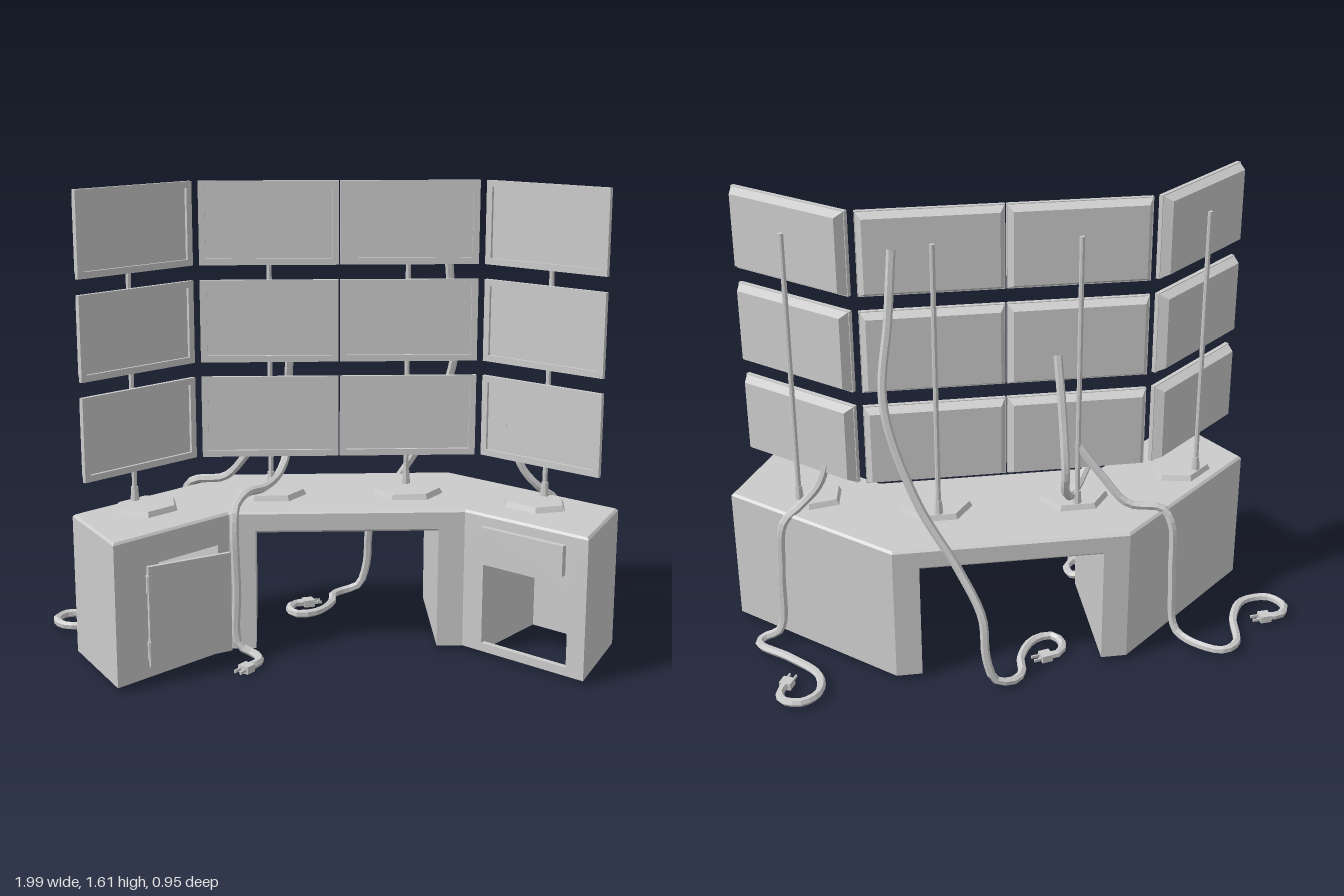
import * as THREE from 'three';

const mat = new THREE.MeshStandardMaterial({ color: 0xcccccc, flatShading: true });
const matDouble = new THREE.MeshStandardMaterial({ color: 0xcccccc, flatShading: true, side: THREE.DoubleSide });
const DESK_X = 0.065, SCREEN_X = 0.0475, ANGLE = 0.742;

function mesh(name, geometry, parent, x = 0, y = 0, z = 0, material = mat) {
  const m = new THREE.Mesh(geometry, material);
  m.name = name;
  m.position.set(x, y, z);
  parent.add(m);
  return m;
}

// Extrude a plan outline of [x, z] points between two heights
function slab(points, y0, y1, bevel = 0) {
  const shape = new THREE.Shape(points.map(([x, z]) => new THREE.Vector2(x, z)));
  const g = new THREE.ExtrudeGeometry(shape, {
    depth: y1 - y0 - 2 * bevel, bevelEnabled: bevel > 0, bevelSegments: 1,
    bevelSize: bevel, bevelThickness: bevel, bevelOffset: -bevel,
  });
  g.rotateX(Math.PI / 2);
  g.translate(0, y1 - bevel, 0);
  return g;
}

// Point on a wing: s along its front edge, d inward from it
const along = [Math.cos(ANGLE), Math.sin(ANGLE)];
const wing = (side, s, d) => [
  side * (0.405 + s * along[0] + d * along[1]),
  0.14 + s * along[1] - d * along[0],
];

// Pedestal with a cavity open to the front and below
function cabinet(side, s0, s1, sill, header) {
  const g = new THREE.Group();
  g.name = side > 0 ? 'leftCabinet' : 'rightCabinet';
  const outline = [
    [side * 0.315, -0.35], [side * 0.405, -0.35], [side * 0.935, 0.14], [side * 0.765, 0.47],
    wing(side, s1, 0), wing(side, 0.38, 0.33), wing(side, s0, 0.33), wing(side, s0, 0),
    [side * 0.405, 0.14], [side * 0.315, 0.14],
  ];
  mesh('cabinetBody', slab(outline, 0.02, 0.45), g);
  const strip = [wing(side, s0, 0), wing(side, s1, 0), wing(side, s1, 0.02), wing(side, s0, 0.02)];
  mesh('cabinetSill', slab(strip, 0.02, sill), g);
  mesh('cabinetHeader', slab(strip, header, 0.45), g);
  return g;
}

function createDesk() {
  const desk = new THREE.Group();
  desk.name = 'desk';
  desk.position.x = DESK_X;
  const half = [[0.405, -0.35], [0.935, 0.14], [0.765, 0.47], [0.405, 0.14]];
  const outline = [...half, ...half.map(([x, z]) => [-x, z]).reverse()];
  mesh('desktop', slab(outline, 0.44, 0.515, 0.008), desk);
  desk.add(cabinet(1, 0.08, 0.42, 0.05, 0.335), cabinet(-1, 0.05, 0.355, 0.06, 0.41));

  // Drawer front above the open compartment
  const front = [wing(1, 0.08, -0.02), wing(1, 0.405, -0.02), wing(1, 0.405, 0), wing(1, 0.08, 0)];
  mesh('drawerFront', slab(front, 0.37, 0.475), desk);

  // Door standing ajar on its hinges
  const door = new THREE.Group();
  door.name = 'door';
  door.position.set(-0.60 - DESK_X, 0, 0.39);
  door.rotation.y = 0.486;
  mesh('doorPanel', new THREE.BoxGeometry(0.3, 0.35, 0.014), door, 0.15, 0.235, 0);
  for (const y of [0.12, 0.35]) mesh('hinge', new THREE.CylinderGeometry(0.008, 0.008, 0.06, 8), door, 0, y, 0.003);
  desk.add(door);
  return desk;
}

// Monitor: bezel around a sunken screen, with a tapered back shell
const W = 0.48, H = 0.288;
function monitorParts() {
  const rect = (T, w, h) => new T([[-1, -1], [1, -1], [1, 1], [-1, 1]]
    .map(([a, b]) => new THREE.Vector2(a * w / 2, b * h / 2)));
  const shape = rect(THREE.Shape, W, H);
  shape.holes.push(rect(THREE.Path, W - 0.045, H - 0.045));
  const bezel = new THREE.ExtrudeGeometry(shape, { depth: 0.015, bevelEnabled: false });
  bezel.translate(0, 0, -0.015);
  const back = new THREE.BoxGeometry(W, H, 0.035);
  back.translate(0, 0, -0.0275);
  const p = back.attributes.position;
  for (let i = 0; i < p.count; i++) {
    if (p.getZ(i) < -0.03) p.setXY(i, p.getX(i) * 0.92, p.getY(i) * 0.87);
  }
  back.computeVertexNormals();
  return { bezel, back };
}

// A column: three monitors on one pole with a hexagonal foot
function column(x, z, turn, parts) {
  const g = new THREE.Group();
  g.name = 'monitorColumn';
  g.position.set(x, 0, z);
  g.rotation.y = turn;
  for (const y of [0.795, 1.135, 1.475]) {
    const monitor = new THREE.Group();
    monitor.name = 'monitor';
    monitor.position.y = y;
    mesh('bezel', parts.bezel, monitor);
    mesh('screenAndBack', parts.back, monitor);
    g.add(monitor);
  }
  mesh('pole', new THREE.CylinderGeometry(0.009, 0.009, 1.0, 8), g, 0, 1.01, -0.05);
  mesh('poleSocket', new THREE.CylinderGeometry(0.012, 0.016, 0.055, 8), g, 0, 0.555, -0.05);
  const foot = new THREE.CylinderGeometry(0.115, 0.128, 0.024, 6);
  foot.rotateY(Math.PI / 6);
  foot.scale(1, 1, 0.82);
  mesh('foot', foot, g, 0, 0.522, 0.015);
  return g;
}

// Cable along a path, finished with a two-pin plug
function cable(points) {
  const g = new THREE.Group();
  g.name = 'powerCable';
  const pts = points.map(p => new THREE.Vector3(...p));
  const curve = new THREE.CatmullRomCurve3(pts, false, 'centripetal');
  mesh('cord', new THREE.TubeGeometry(curve, pts.length * 4, 0.015, 6), g, 0, 0, 0, matDouble);
  const plug = new THREE.Group();
  plug.name = 'plug';
  mesh('plugBody', new THREE.BoxGeometry(0.042, 0.026, 0.04), plug, 0, 0, 0.012);
  for (const x of [-0.012, 0.012]) mesh('pin', new THREE.BoxGeometry(0.006, 0.01, 0.03), plug, x, 0, 0.046);
  plug.position.copy(curve.getPoint(1));
  plug.lookAt(plug.position.clone().add(curve.getTangent(1).setY(0)));
  g.add(plug);
  return g;
}

export function createModel() {
  const model = new THREE.Group();
  model.name = 'monitorWorkstation';
  model.add(createDesk());

  const parts = monitorParts();
  for (const side of [-1, 1]) {
    model.add(column(SCREEN_X + side * 0.2425, -0.09, 0, parts));
    model.add(column(SCREEN_X + side * 0.68, 0.075, -side * ANGLE, parts));
  }

  // Cable over the back of the right wing
  model.add(cable([
    [-0.19, 0.76, -0.13], [-0.28, 0.64, -0.17], [-0.36, 0.55, -0.2], [-0.48, 0.53, -0.22], [-0.51, 0.48, -0.24],
    [-0.52, 0.25, -0.25], [-0.54, 0.05, -0.27], [-0.64, 0.03, -0.37], [-0.69, 0.03, -0.385], [-0.74, 0.03, -0.35],
    [-0.775, 0.03, -0.19], [-0.84, 0.03, -0.09], [-0.94, 0.03, -0.08], [-0.98, 0.03, -0.145],
    [-0.95, 0.03, -0.2], [-0.9, 0.03, -0.205],
  ]));
  // Cable across the desktop and down the front
  model.add(cable([
    [-0.12, 1.1, -0.14], [-0.13, 0.9, -0.19], [-0.135, 0.7, -0.235], [-0.14, 0.62, -0.21], [-0.17, 0.565, -0.15],
    [-0.22, 0.55, -0.04], [-0.28, 0.565, 0.08], [-0.315, 0.54, 0.15], [-0.32, 0.48, 0.175], [-0.315, 0.25, 0.175],
    [-0.31, 0.05, 0.175], [-0.25, 0.02, 0.2], [-0.24, 0.02, 0.26], [-0.275, 0.02, 0.305],
  ]));
  // Cable hanging free behind the middle
  model.add(cable([
    [0.42, 1.5, -0.14], [0.44, 1.28, -0.17], [0.47, 1.0, -0.225], [0.38, 0.68, -0.3], [0.25, 0.44, -0.37],
    [0.18, 0.28, -0.425], [0.17, 0.13, -0.445], [0.14, 0.04, -0.45], [0.08, 0.02, -0.44], [0.04, 0.02, -0.4],
    [0.03, 0.02, -0.31], [-0.03, 0.02, -0.21], [-0.1, 0.02, -0.19], [-0.13, 0.02, -0.24], [-0.11, 0.02, -0.3],
    [-0.07, 0.02, -0.31],
  ]));
  // Cable over the back of the left wing
  model.add(cable([
    [0.64, 0.78, -0.035], [0.69, 0.62, -0.03], [0.76, 0.54, -0.03], [0.82, 0.49, -0.05], [0.84, 0.3, -0.055],
    [0.86, 0.06, -0.06], [0.925, 0.03, -0.06], [0.935, 0.03, -0.1], [0.83, 0.03, -0.2], [0.735, 0.03, -0.32],
    [0.74, 0.03, -0.42], [0.8, 0.03, -0.465], [0.86, 0.03, -0.445], [0.87, 0.03, -0.4], [0.85, 0.03, -0.36],
  ]));
  return model;
}
